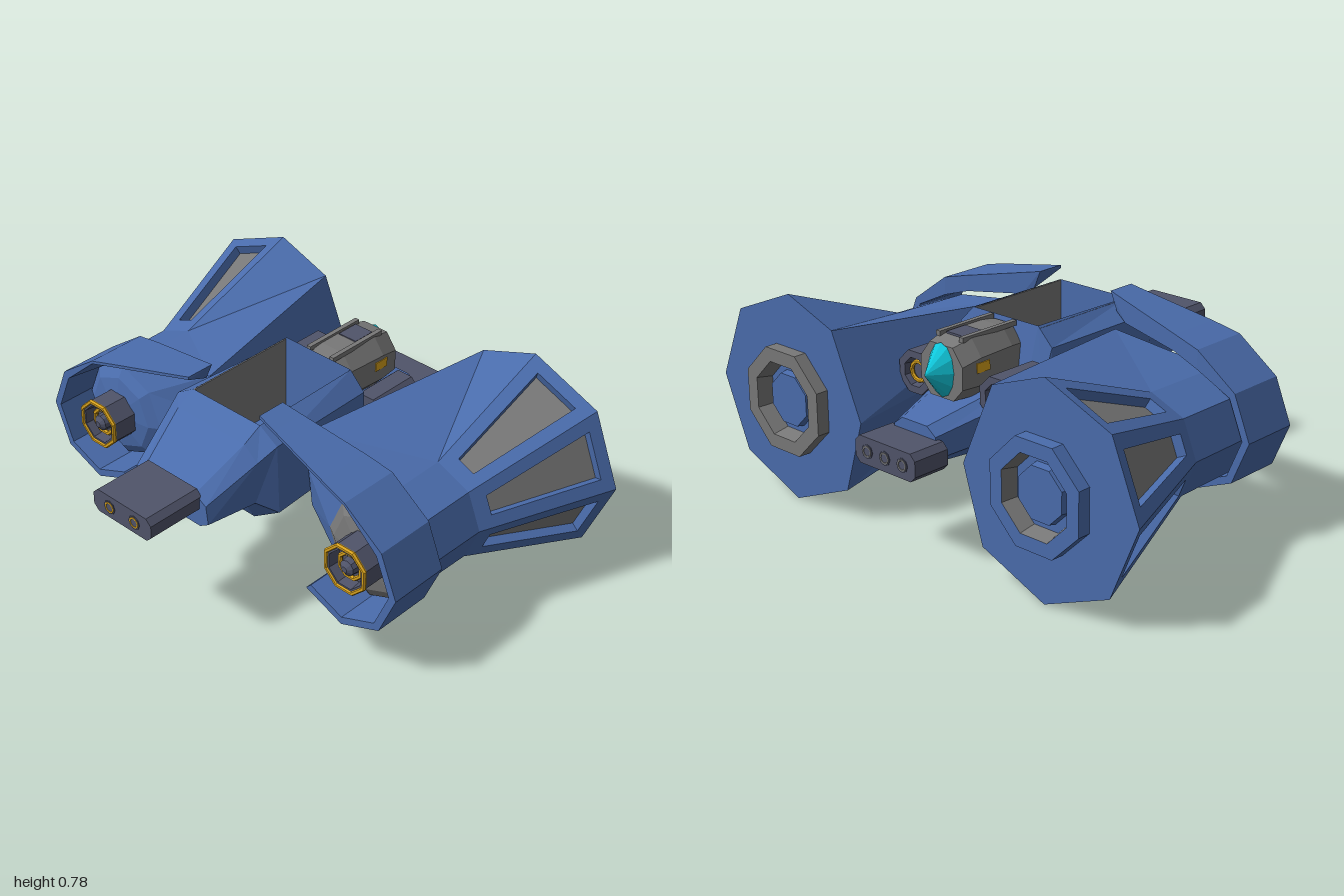
import * as THREE from 'three';

const mat = (color) => new THREE.MeshStandardMaterial({ color, flatShading: true, side: THREE.DoubleSide });
const V = (x, y, z) => new THREE.Vector3(x, y, z);
const PX = 0.61, PY = 0.39; // pod axis

function add(parent, name, geometry, material, x = 0, y = 0, z = 0) {
  const m = new THREE.Mesh(geometry, material);
  m.name = name;
  m.position.set(x, y, z);
  parent.add(m);
  return m;
}

// flat-shaded geometry from four-cornered faces
function quads(list) {
  const pos = [];
  for (const [a, b, c, d] of list) for (const p of [a, b, c, a, c, d]) pos.push(p.x, p.y, p.z);
  const g = new THREE.BufferGeometry();
  g.setAttribute('position', new THREE.Float32BufferAttribute(pos, 3));
  g.computeVertexNormals();
  return g;
}

// faces joining successive closed rings (counter-clockwise seen from +z, running towards -z)
function loft(rings, caps = true) {
  const f = [], n = rings[0].length;
  for (let r = 0; r + 1 < rings.length; r++)
    for (let i = 0; i < n; i++) {
      const j = (i + 1) % n, A = rings[r], B = rings[r + 1];
      f.push([A[i], B[i], B[j], A[j]]);
    }
  if (caps) {
    const A = rings[0], B = rings[rings.length - 1];
    for (let i = 1; i + 1 < n; i++) {
      f.push([A[0], A[i], A[i + 1], A[i + 1]]);
      f.push([B[0], B[i + 1], B[i], B[i]]);
    }
  }
  return f;
}

const corner = (r, i, z) => V(PX + r * Math.cos(i * Math.PI / 4), PY + r * Math.sin(i * Math.PI / 4), z);
const octagon = (r, z) => Array.from({ length: 8 }, (_, i) => corner(r, i, z));

// turned part along z; profile is [radius, z]
function turned(profile, sides, turn = 0) {
  const g = new THREE.LatheGeometry(profile.map(([r, z]) => new THREE.Vector2(r, z)), sides, turn);
  return g.rotateX(Math.PI / 2);
}

// chamfered block along z, with w x h section
function block(w, h, depth, c) {
  const a = w / 2, b = h / 2;
  const pts = [[a, -b + c], [a, b - c], [a - c, b], [-a + c, b], [-a, b - c], [-a, -b + c], [-a + c, -b], [a - c, -b]];
  return quads(loft([depth / 2, -depth / 2].map((z) => pts.map(([x, y]) => V(x, y, z)))));
}

export function createModel() {
  const blue = mat(0x4a6cac), grey = mat(0x787878), dark = mat(0x50546a), gold = mat(0xd9a21c), cyan = mat(0x10c8dc);
  const ship = new THREE.Group();
  ship.name = 'ship';

  // hull: half-sections as top, shoulder, flank and keel points
  const sections = [
    [0.54, 0.12, 0.56, 0.17, 0.53, 0.18, 0.46, 0.14, 0.435],
    [0.345, 0.16, 0.68, 0.22, 0.63, 0.21, 0.46, 0.15, 0.435],
    [0.27, 0.16, 0.72, 0.24, 0.67, 0.25, 0.4, 0.13, 0.32],
    [-0.19, 0.155, 0.725, 0.22, 0.66, 0.22, 0.4, 0.13, 0.32],
    [-0.22, 0.14, 0.56, 0.2, 0.52, 0.2, 0.4, 0.13, 0.32],
    [-0.63, 0.06, 0.46, 0.1, 0.43, 0.1, 0.35, 0.06, 0.32],
  ].map(([z, tx, ty, sx, sy, fx, fy, kx, ky]) => [
    V(fx, fy, z), V(sx, sy, z), V(tx, ty, z), V(-tx, ty, z), V(-sx, sy, z), V(-fx, fy, z), V(-kx, ky, z), V(kx, ky, z)]);
  add(ship, 'noseHull', quads(loft(sections.slice(0, 3))), blue);
  add(ship, 'tailHull', quads(loft(sections.slice(3))), blue);
  // middle is open above and below, with a floor between grey-lined walls
  const bay = loft(sections.slice(2, 4), false).filter((_, i) => i !== 2 && i !== 6);
  add(ship, 'bayHull', quads(bay), blue);
  add(ship, 'bayFloor', new THREE.BoxGeometry(0.33, 0.015, 0.46), blue, 0, 0.425, 0.04);
  add(ship, 'bayCeilingBelow', new THREE.BoxGeometry(0.28, 0.01, 0.46), grey, 0, 0.412, 0.04);
  for (const s of [-1, 1]) {
    add(ship, 'bayWall', new THREE.BoxGeometry(0.006, 0.295, 0.46), grey, s * 0.16, 0.57, 0.04);
    add(ship, 'bayLowerWall', new THREE.BoxGeometry(0.006, 0.085, 0.46), blue, s * 0.132, 0.367, 0.04);
  }

  // gun blocks at nose and tail
  function gun(name, y, z, w, h, depth, xs, dir, ringMaterial) {
    const g = new THREE.Group();
    g.name = name;
    add(g, 'gunBlock', block(w, h, depth, 0.022), dark);
    for (const x of xs) {
      add(g, 'muzzleRing', new THREE.TorusGeometry(0.018, 0.005, 6, 12), ringMaterial, x, 0, dir * depth / 2);
      add(g, 'muzzle', turned([[0, -0.01], [0.026, -0.01], [0.026, 0], [0, 0]], 8), dark, x, 0, dir * (depth / 2) + (dir > 0 ? 0.003 : 0.007));
    }
    g.position.set(0, y, z);
    ship.add(g);
  }
  gun('noseGun', 0.53, 0.645, 0.28, 0.09, 0.23, [-0.06, 0.06], 1, gold);
  gun('tailGun', 0.37, -0.693, 0.29, 0.1, 0.15, [-0.085, 0, 0.085], -1, grey);

  // rear cabin with pointed window
  const cabin = new THREE.Group();
  cabin.name = 'cabin';
  const cabinRings = [[-0.2, 0.085, 0.71], [-0.26, 0.1, 0.718], [-0.42, 0.11, 0.718], [-0.5, 0.1, 0.7]].map(([z, w, top]) =>
    [[w, 0.56], [w, top - 0.06], [w - 0.045, top], [0.045 - w, top], [-w, top - 0.06], [-w, 0.56], [0.045 - w, 0.51], [w - 0.045, 0.51]]
      .map(([x, y]) => V(x, y, z)));
  add(cabin, 'cabinBody', quads(loft(cabinRings)), grey);
  add(cabin, 'roofHatch', new THREE.BoxGeometry(0.08, 0.012, 0.09), dark, 0, 0.716, -0.39);
  for (const s of [-1, 1]) {
    add(cabin, 'roofRail', new THREE.BoxGeometry(0.018, 0.018, 0.26), grey, s * 0.055, 0.718, -0.33);
    add(cabin, 'sideLamp', new THREE.BoxGeometry(0.02, 0.035, 0.06), gold, s * 0.102, 0.625, -0.41);
  }
  const glass = new THREE.ConeGeometry(0.085, 0.08, 12).rotateX(-Math.PI / 2).scale(0.7, 1.15, 1);
  add(cabin, 'rearWindow', glass, cyan, 0, 0.61, -0.54);
  ship.add(cabin);

  // small thrusters beside the cabin
  for (const s of [-1, 1]) {
    const t = new THREE.Group();
    t.name = 'sideThruster';
    add(t, 'thrusterBody', turned([[0, 0.105], [0.083, 0.105], [0.083, -0.105], [0.055, -0.105], [0.05, -0.07], [0, -0.07]], 8, Math.PI / 8), dark);
    add(t, 'thrusterRing', new THREE.TorusGeometry(0.035, 0.008, 6, 12), gold, 0, 0, -0.085);
    t.position.set(s * 0.197, 0.535, -0.335);
    ship.add(t);
  }

  for (const side of [1, -1]) {
    const pod = new THREE.Group();
    pod.name = side > 0 ? 'leftPod' : 'rightPod';
    const lining = side > 0 ? grey : blue;

    // pod shell: inner corners reach across to the hull
    const front = octagon(0.19, 0.2), mid = octagon(0.195, -0.13), back = octagon(0.39, -0.65);
    mid[3] = V(0.245, 0.66, 0.11);
    mid[4] = V(0.245, 0.5, 0.12);
    mid[5] = V(0.245, 0.34, 0.1);
    back[3].set(0.385, 0.697, -0.65);
    back[4].x = 0.25;
    const shell = loft([front, mid], false), panels = [];
    for (let i = 0; i < 8; i++) {
      const j = (i + 1) % 8, A = mid[i], B = back[i], C = back[j], D = mid[j];
      if (i >= 2 && i <= 4) { shell.push([A, B, C, D]); continue; }
      // sunken panel in each outer face
      const at = (u, v) => A.clone().lerp(D, u).lerp(B.clone().lerp(C, u), v);
      const inner = [at(0.28, 0.11), at(0.18, 0.91), at(0.82, 0.91), at(0.72, 0.11)];
      const n = B.clone().sub(A).cross(D.clone().sub(A)).normalize().multiplyScalar(-0.035);
      const sunk = inner.map((p) => p.clone().add(n));
      const outer = [A, B, C, D];
      for (let k = 0; k < 4; k++) {
        const l = (k + 1) % 4;
        shell.push([outer[k], outer[l], inner[l], inner[k]], [inner[k], inner[l], sunk[l], sunk[k]]);
      }
      panels.push(sunk);
    }
    // flat rear face around the exhaust
    const hole = octagon(0.16, -0.65);
    for (let i = 0; i < 8; i++) {
      const j = (i + 1) % 8;
      shell.push([back[i], hole[i], hole[j], back[j]]);
    }
    add(pod, 'podShell', quads(shell), blue);
    add(pod, 'podPanels', quads(panels), grey);

    // exhaust
    add(pod, 'exhaustRim', turned([[0.205, -0.64], [0.205, -0.7], [0.15, -0.7]], 8, Math.PI / 8), lining, PX, PY);
    add(pod, 'exhaustLining', turned([[0.15, -0.7], [0.135, -0.64]], 8, Math.PI / 8), grey, PX, PY);
    add(pod, 'exhaustCore', turned([[0.14, -0.64], [0.105, -0.64], [0.1, -0.67], [0, -0.67]], 8, Math.PI / 8), blue, PX, PY);

    // intake nose
    add(pod, 'intakeCone', turned([[0.19, 0.2], [0.15, 0.225], [0.09, 0.235]], 8, Math.PI / 2), lining, PX, PY);
    add(pod, 'intakeTube', turned([[0.095, 0.2], [0.095, 0.335], [0.075, 0.335], [0.07, 0.29], [0, 0.29]], 8, Math.PI / 8), dark, PX, PY);
    for (const [r, z] of [[0.09, 0.333], [0.05, 0.305]]) {
      const ring = new THREE.TorusGeometry(r, 0.009, 6, 8).rotateZ(Math.PI / 8);
      add(pod, 'intakeRing', ring, gold, PX, PY, z);
    }
    add(pod, 'spinner', turned([[0.035, 0.28], [0.03, 0.325], [0.012, 0.338], [0, 0.338]], 10), dark, PX, PY);

    // open collar round the outside of the nose
    const strip = [];
    for (let i = -3; i <= 1; i++) {
      const o = corner(0.23, i), p = corner(0.2, i);
      strip.push([V(o.x, o.y, 0.11), V(o.x, o.y, 0.345), V(p.x, p.y, 0.345), V(p.x, p.y, 0.11)]);
    }
    // its top runs on as a fin over the hull, narrowing to the tip, thin at the leading edge
    const fin = [[0.61, 0.67, 0.61, 0.6], [0.5, 0.697, 0.5, 0.635], [0.25, 0.752, 0.25, 0.67], [0.17, 0.77, 0.2, 0.7]];
    for (const [tx, ty, bx, by] of fin) {
      const k = Math.max(0, (0.59 - tx) / 0.42);
      const z0 = 0.11 + 0.06 * k, z1 = 0.345 - 0.063 * k;
      strip.push([V(tx, ty, z0), V(tx, ty, z1), V(tx, ty - 0.012, z1), V(bx, by, z0)]);
    }
    add(pod, 'collarAndFin', quads(loft(strip)), blue);

    pod.scale.x = side;
    ship.add(pod);
  }
  return ship;
}
